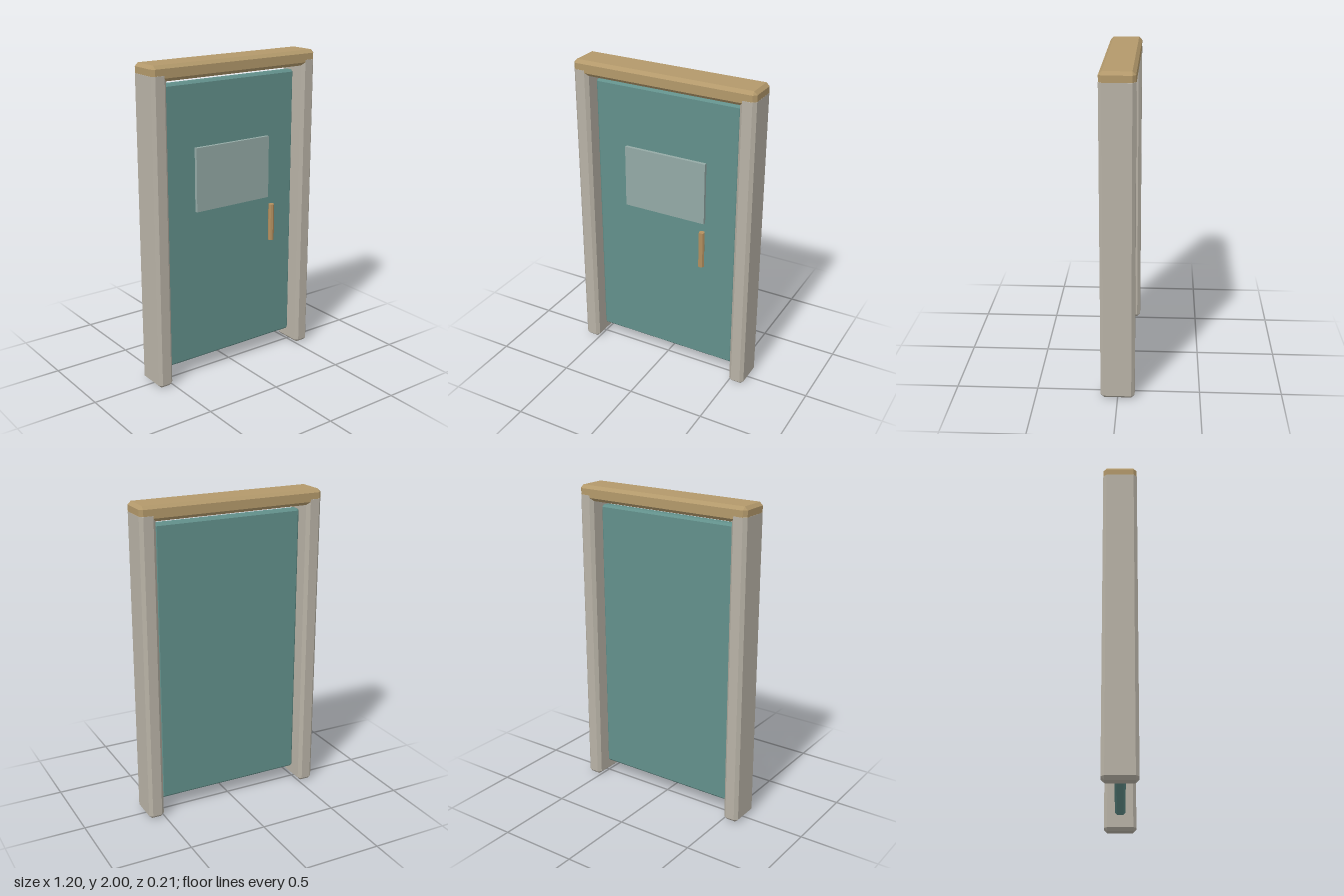
import * as THREE from 'three';
import { ConvexGeometry } from 'three/addons/geometries/ConvexGeometry.js';

const material = (name, color) => {
  const m = new THREE.MeshStandardMaterial({ color, flatShading: true });
  m.name = name;
  return m;
};

// Box with all twelve edges chamfered by c
function chamferBox(w, h, d, c) {
  const points = [];
  for (const sx of [-1, 1]) for (const sy of [-1, 1]) for (const sz of [-1, 1]) {
    const x = w / 2, y = h / 2, z = d / 2;
    points.push(
      new THREE.Vector3(sx * x, sy * (y - c), sz * (z - c)),
      new THREE.Vector3(sx * (x - c), sy * y, sz * (z - c)),
      new THREE.Vector3(sx * (x - c), sy * (y - c), sz * z));
  }
  return new ConvexGeometry(points);
}

export function createModel() {
  const group = new THREE.Group();
  group.name = 'door';
  const stone = material('warm grey frame', 0xb8b2a6);
  const wood = material('tan trim', 0xb3996b);
  const teal = material('teal panel', 0x62908b);
  const glass = material('pale window', 0x94aaa6);
  const brass = material('handle brown', 0xb4905f);

  const add = (name, geometry, mat, x, y, z) => {
    const mesh = new THREE.Mesh(geometry, mat);
    mesh.name = name;
    mesh.position.set(x, y, z);
    group.add(mesh);
  };

  // Frame: two posts with the lintel resting over their tops
  for (const [side, s] of [['left', 1], ['right', -1]]) {
    add(side + 'Post', chamferBox(0.101, 1.96, 0.207, 0.02), stone, s * 0.55, 0.98, 0);
  }
  add('lintel', chamferBox(1.2, 0.095, 0.206, 0.02), wood, 0, 1.9525, 0);

  // Door leaf with its window and upright handle on the front
  add('doorPanel', chamferBox(0.97, 1.785, 0.066, 0.013), teal, 0, 0.984, 0);
  add('window', new THREE.BoxGeometry(0.55, 0.4, 0.024), glass, 0, 1.28, 0.042);
  add('handle', new THREE.CylinderGeometry(0.019, 0.019, 0.24, 8), brass, 0.278, 0.92, 0.084);
  return group;
}
